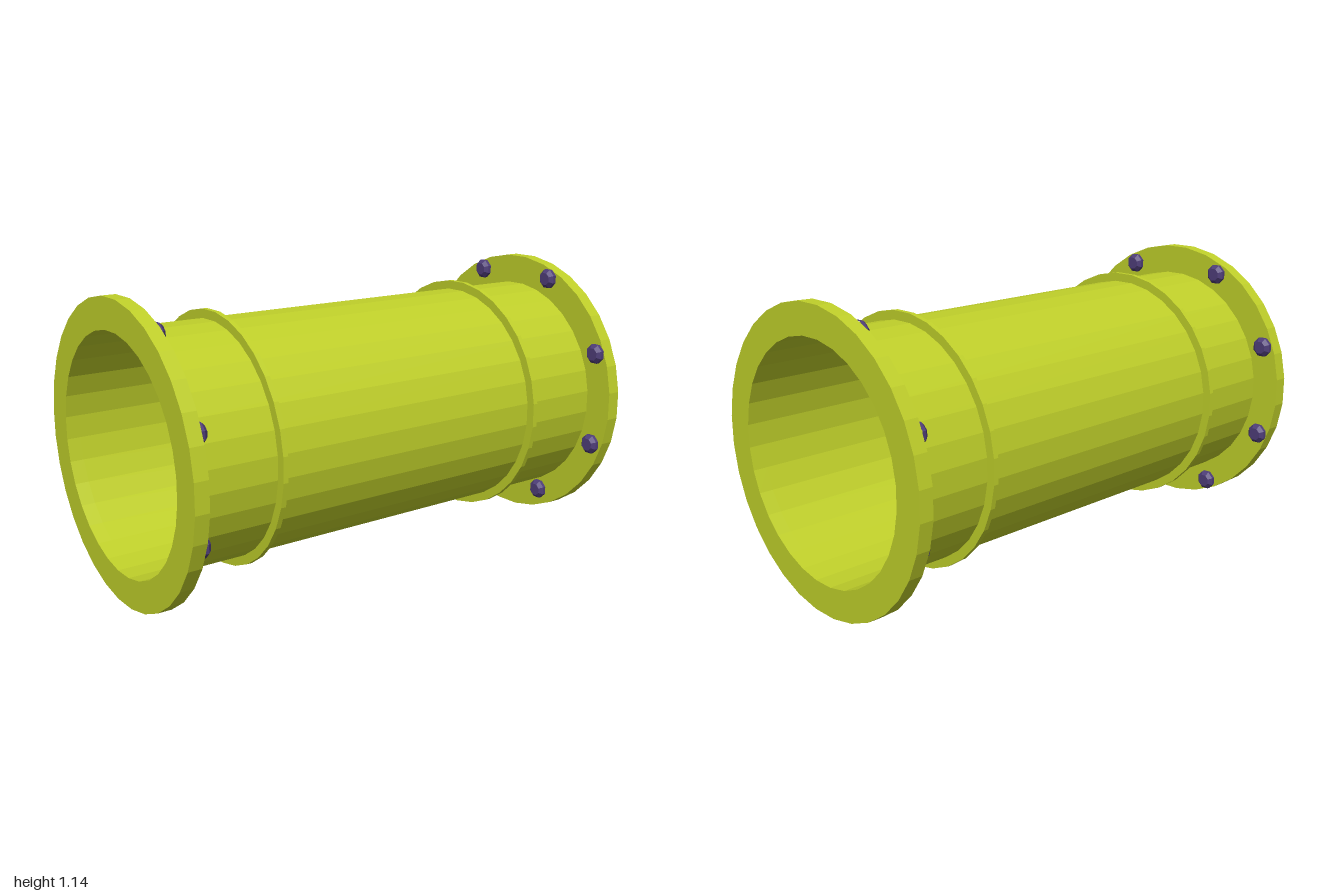
import * as THREE from 'three';

const SIDES = 32, BORE = 0.453, RIM = 0.572, FACE = 0.945;
const CENTRE_Y = RIM * Math.cos(Math.PI / SIDES);

// Revolve [radius, z] points about the z axis, with a flat facet at the top
function revolve(name, points, material, sides = SIDES) {
  const profile = points.map(([r, z]) => new THREE.Vector2(r, z));
  const geometry = new THREE.LatheGeometry(profile, sides, Math.PI / sides);
  geometry.rotateX(Math.PI / 2);
  const mesh = new THREE.Mesh(geometry, material);
  mesh.name = name;
  return mesh;
}

export function createModel() {
  const group = new THREE.Group();
  group.name = 'flangedPipe';
  const paint = new THREE.MeshStandardMaterial({ color: 0xbfcf2a, flatShading: true, side: THREE.DoubleSide });
  const boltPaint = new THREE.MeshStandardMaterial({ color: 0x4e3d78, flatShading: true });

  const pipe = new THREE.Group();
  pipe.name = 'pipe';
  pipe.position.y = CENTRE_Y;
  group.add(pipe);

  // Thin open tube
  pipe.add(revolve('tube', [[BORE, -FACE], [BORE, FACE]], paint));

  for (const end of [1, -1]) {
    const label = end > 0 ? 'front' : 'back';

    // End flange
    const flange = revolve(label + 'Flange',
      [[BORE, FACE], [RIM, FACE], [RIM, 1], [BORE, 1], [BORE, FACE]], paint);
    if (end < 0) flange.rotation.y = Math.PI;
    pipe.add(flange);

    // Narrow raised collar
    const collar = revolve(label + 'Collar',
      [[BORE, -0.01], [0.488, -0.01], [0.488, 0.01], [BORE, 0.01]], paint);
    collar.position.z = end * 0.6;
    pipe.add(collar);

    // Eight bolt heads on the flange's inner face
    const bolts = new THREE.Group();
    bolts.name = label + 'Bolts';
    bolts.position.set(0, end > 0 ? -0.003 : 0.017, end * FACE);
    const spots = end > 0 ? [[0.23, 0.475], [0.49, 0.193]] : [[0.2, 0.475], [0.487, 0.195]];
    for (const [x, y] of spots) {
      for (const sx of [1, -1]) {
        for (const sy of [1, -1]) {
          const bolt = revolve('bolt',
            [[0.042, 0], [0.042, 0.014], [0.027, 0.029], [0, 0.029]], boltPaint, 8);
          bolt.position.set(sx * x, sy * y, 0);
          if (end > 0) bolt.rotation.y = Math.PI;
          bolts.add(bolt);
        }
      }
    }
    pipe.add(bolts);
  }
  return group;
}
